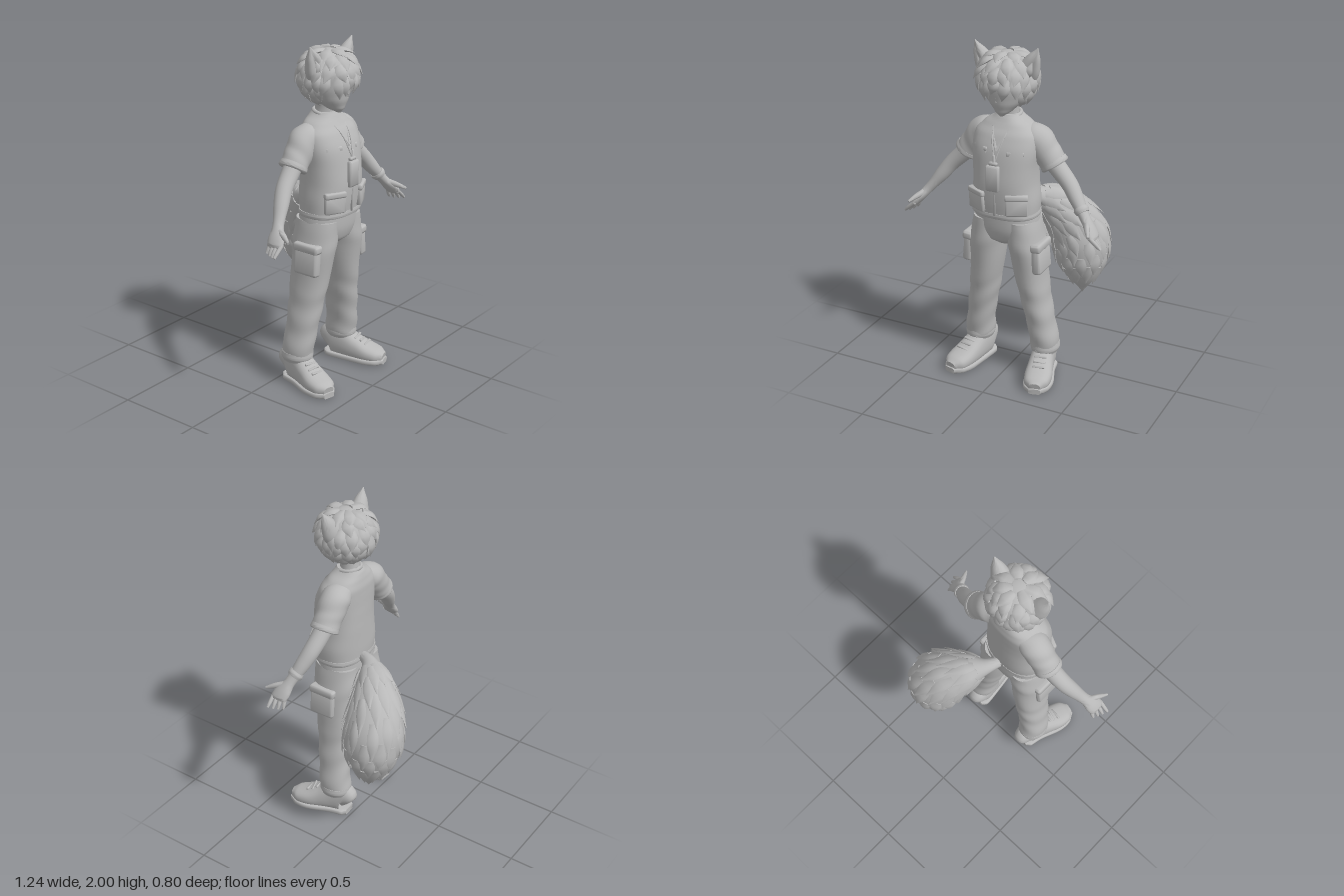
import * as THREE from 'three';
import { mergeGeometries, toCreasedNormals } from 'three/addons/utils/BufferGeometryUtils.js';
import { RoundedBoxGeometry } from 'three/addons/geometries/RoundedBoxGeometry.js';

const V3 = (x, y, z) => new THREE.Vector3(x, y, z);
const UP = V3(0, 1, 0), FRONT = V3(0, 0, 1);

// Smooth tube through rings [x, y, z, radiusU, radiusV]; at(u, angle, k) is a point on it.
function sweep(rings, { n = 20, steps = 5, ref = FRONT, flat = false, p = 2, shape = () => 1 } = {}) {
  const path = new THREE.CatmullRomCurve3(rings.map(r => V3(r[0], r[1], r[2])));
  const radii = new THREE.CatmullRomCurve3(rings.map(r => V3(r[3], r[4], 0)), false, 'catmullrom', 0.4);
  const pow = v => Math.sign(v) * Math.abs(v) ** (2 / p);
  const at = (u, t, k = 1) => {
    u = Math.min(1, u);
    const T = flat ? UP : path.getTangent(u);
    const U = T.clone().cross(ref).normalize(), V = U.clone().cross(T);
    const r = radii.getPoint(u), m = k * shape(t, u);
    return path.getPoint(u).addScaledVector(U, Math.max(r.x, 0) * m * pow(Math.cos(t)))
      .addScaledVector(V, Math.max(r.y, 0) * m * pow(Math.sin(t)));
  };
  const rows = (rings.length - 1) * steps, pos = [], index = [];
  for (let i = 0; i <= rows; i++)
    for (let j = 0; j < n; j++) pos.push(...at(i / rows, j / n * Math.PI * 2).toArray());
  pos.push(...path.getPoint(0).toArray(), ...path.getPoint(1).toArray());
  const first = (rows + 1) * n, last = rows * n;
  for (let j = 0; j < n; j++) {
    const j1 = (j + 1) % n;
    for (let i = 0; i < rows; i++) {
      const a = i * n + j, b = i * n + j1;
      index.push(a, a + n, b, b, a + n, b + n);
    }
    index.push(first, j, j1, first + 1, last + j1, last + j);
  }
  const geo = new THREE.BufferGeometry();
  geo.setAttribute('position', new THREE.Float32BufferAttribute(pos, 3));
  geo.setIndex(index);
  return { geo, at };
}
const loft = (rings, opt) => sweep(rings, opt).geo;

function box(w, h, d, x, y, z, ry = 0, rx = 0, rz = 0) {
  const g = new RoundedBoxGeometry(w, h, d, 2, Math.min(w, h, d) * 0.3);
  return g.rotateZ(rz).rotateX(rx).rotateY(ry).translate(x, y, z);
}
const cord = (pts, r) => new THREE.TubeGeometry(new THREE.CatmullRomCurve3(pts.map(q => V3(...q))), 14, r, 6);

// Pointed, flattened lock from root over a middle point to the tip
const lock = (a, b, c, out, w, d) => loft([
  [...a.toArray(), w * 0.7, d], [...b.toArray(), w, d], [...c.toArray(), 0.001, 0.001],
], { n: 6, steps: 3, ref: out });

function finish(list) {
  return mergeGeometries(list.map(g => {
    g.deleteAttribute('uv');
    return toCreasedNormals(g, 0.9);
  }));
}
// Copy reflected in x, with corner order put right
function mirrored(geo) {
  const g = geo.clone().scale(-1, 1, 1);
  for (const { array } of [g.attributes.position, g.attributes.normal])
    for (let i = 0; i < array.length; i += 9)
      for (let k = 3; k < 6; k++) [array[i + k], array[i + k + 3]] = [array[i + k + 3], array[i + k]];
  return g;
}

export function createModel() {
  const model = new THREE.Group();
  const clay = new THREE.MeshStandardMaterial({ color: 0xb8b8b8 });
  clay.name = 'clay grey';
  const put = (name, geo) => {
    const m = new THREE.Mesh(geo, clay);
    m.name = name;
    model.add(m);
  };
  const add = (name, ...list) => put(name, finish(list));
  const pair = (name, ...list) => {
    const g = finish(list);
    put('left' + name, g);
    put('right' + name, mirrored(g));
  };
  let seed = 7;
  const rnd = () => (seed = (seed * 16807) % 2147483647) / 2147483647;

  // Vest with a loose hem
  add('vest', loft([
    [0, 1.03, .18, .194, .142], [0, 1.12, .183, .196, .15], [0, 1.22, .185, .187, .152], [0, 1.32, .182, .187, .146],
    [0, 1.42, .174, .195, .137], [0, 1.5, .157, .187, .12], [0, 1.55, .145, .14, .098], [0, 1.585, .14, .085, .082],
    [0, 1.605, .14, .066, .07],
  ], { n: 36, flat: true, p: 2.4, shape: (t, u) => 1 + .012 * Math.sin(3 * t + u * 14) * (1 - u) }));
  add('vestHem', loft([[0, 1.025, .18, .196, .144], [0, 1.035, .18, .2, .148], [0, 1.055, .18, .197, .147]],
    { n: 36, flat: true, p: 2.4 }));
  add('vestFront', box(.012, .36, .012, 0, 1.23, .333),
    cord([[-.06, 1.59, .18], [-.045, 1.53, .247], [0, 1.43, .312]], .008),
    cord([[.06, 1.59, .18], [.045, 1.53, .247], [0, 1.43, .312]], .008));
  pair('HipPocket', box(.125, .11, .03, .122, 1.115, .305, .45), box(.132, .035, .038, .122, 1.168, .307, .45));
  add('chestPocket', box(.1, .09, .015, -.105, 1.385, .287, -.4, -.1), box(.106, .028, .022, -.105, 1.425, .28, -.4, -.15));
  add('chestFlap', box(.1, .028, .02, .105, 1.415, .283, .4, -.15));
  add('hangingCase', box(.08, .15, .028, -.005, 1.275, .342), box(.05, .02, .02, -.005, 1.36, .335));
  add('caseCord', ...[-1, 1].map(s => cord([[s * .062, 1.595, .16], [s * .035, 1.5, .28], [0, 1.36, .335]], .004)));

  // Trousers
  add('hips', loft([[0, .845, .165, .06, .08], [0, .88, .165, .15, .12], [0, .95, .168, .193, .136], [0, 1.06, .172, .185, .138]],
    { n: 32, flat: true, p: 2.3 }));
  pair('TrouserLeg', loft([
    [.215, .14, .112, .07, .085], [.212, .2, .112, .083, .096], [.2, .3, .124, .079, .095], [.183, .4, .132, .081, .1],
    [.165, .5, .138, .084, .107], [.15, .6, .145, .088, .115], [.127, .8, .162, .1, .13], [.113, .9, .165, .1, .135],
    [.1, 1, .167, .09, .13],
  ], { n: 24, flat: true, p: 2.2, shape: (t, u) => 1 + (.035 - .022 * u) * Math.sin(u * 32 + 2 * Math.sin(t + 1)) }));
  pair('TrouserCuff', loft([[.214, .145, .11, .076, .088], [.214, .17, .11, .086, .097], [.213, .2, .11, .083, .095]],
    { n: 24, flat: true }));
  pair('CargoPocket', box(.055, .17, .16, .216, .78, .185, 0, 0, .09), box(.065, .05, .17, .213, .855, .185, 0, 0, .09));

  // Shoes
  pair('Shoe',
    loft([
      [.2, .075, .028, .035, .055], [.2, .1, .05, .058, .095], [.21, .1, .12, .066, .098], [.228, .078, .2, .073, .075],
      [.25, .058, .28, .08, .055], [.265, .047, .345, .07, .043], [.275, .04, .385, .035, .028],
    ], { n: 24, ref: UP, p: 2.5 }),
    loft([
      [.198, .018, .022, .04, .018], [.2, .018, .05, .064, .018], [.212, .018, .13, .07, .018], [.248, .018, .27, .087, .018],
      [.265, .018, .345, .075, .018], [.277, .018, .393, .035, .016],
    ], { n: 24, ref: UP, p: 5 }));
  pair('Laces', ...[0, 1, 2, 3].map(i =>
    box(.075, .012, .014, .226 + i * .008, .163 - i * .016, .19 + i * .03, .22, .5, i % 2 ? .15 : -.15)));

  // Short sleeves, arms and hands
  pair('Sleeve', loft([
    [.1, 1.5, .13, .06, .075], [.165, 1.465, .126, .084, .087], [.22, 1.395, .125, .08, .08], [.267, 1.333, .125, .077, .078],
  ], { n: 24, shape: (t, u) => 1 + .02 * Math.sin(u * 18 + 2 * t) }));
  pair('SleeveHem', loft([[.256, 1.349, .125, .079, .08], [.27, 1.33, .125, .082, .083], [.274, 1.324, .125, .076, .078]], { n: 24 }));
  pair('Arm', loft([
    [.23, 1.38, .125, .055, .056], [.3, 1.305, .13, .05, .052], [.37, 1.235, .143, .045, .049], [.42, 1.17, .165, .041, .044],
    [.47, 1.105, .19, .03, .035], [.5, 1.068, .205, .027, .034], [.535, 1.025, .223, .025, .05], [.562, .99, .236, .019, .05],
    [.57, .98, .237, .01, .04],
  ]));
  const fingers = [0, 1, 2, 3].map(i => loft([
    [.55, 1, .199 + i * .025, .012, .013], [.568 + i * .008, .965, .195 + i * .026, .011, .012],
    [.58 + i * .012, .935 + Math.abs(i - 1.5) * .005, .192 + i * .027, .007, .008],
  ], { n: 8, steps: 3 }));
  pair('Hand', ...fingers, loft([[.51, 1.06, .225, .018, .02], [.537, 1.043, .28, .015, .016], [.56, 1.025, .325, .007, .008]],
    { n: 8, steps: 3, ref: UP }));
  add('wristBand', loft([[.452, 1.128, .181, .038, .042], [.462, 1.116, .186, .042, .046], [.472, 1.103, .191, .037, .041]]));

  // Head
  add('neck', loft([[0, 1.55, .13, .065, .065], [0, 1.62, .14, .053, .056], [0, 1.7, .15, .055, .06]], { flat: true }));
  add('collar', new THREE.TorusGeometry(.063, .012, 8, 24).rotateX(Math.PI / 2 + .15).translate(0, 1.598, .14));
  add('head', loft([
    [0, 1.608, .235, .012, .015], [0, 1.635, .208, .05, .06], [0, 1.69, .172, .1, .112], [0, 1.76, .16, .128, .134],
    [0, 1.84, .158, .132, .138], [0, 1.91, .155, .095, .105], [0, 1.94, .155, .03, .03],
  ], { n: 28, flat: true }));
  add('nose', loft([[0, 1.74, .28, .008, .01], [0, 1.705, .285, .012, .014], [0, 1.692, .28, .004, .004]], { n: 10, flat: true }));

  // Pointed ears, hollowed on the front
  const hollow = (t, u) => 1 - .75 * Math.exp(-(((t - 1.15) / .55) ** 2)) * (1 - u * .5);
  pair('Ear', loft([[.1, 1.81, .16, .062, .05], [.13, 1.87, .17, .064, .053], [.16, 1.93, .176, .042, .038], [.19, 1.997, .18, .003, .003]],
    { n: 28, shape: hollow }),
    lock(V3(.125, 1.83, .2), V3(.15, 1.87, .215), V3(.165, 1.92, .2), V3(.4, 0, 1), .022, .008));

  // Tousled hair: a cap and rows of locks falling from the crown
  const onHead = (az, phi, k) => V3(.155 * k * Math.sin(phi) * Math.sin(az), 1.81 + .148 * k * Math.cos(phi), .16 + .155 * k * Math.sin(phi) * Math.cos(az));
  const cap = new THREE.SphereGeometry(1, 28, 14, 0, Math.PI * 2, 0, Math.PI * .56)
    .rotateX(-.5).scale(.152, .146, .152).translate(0, 1.81, .16);
  const locks = [cap];
  // Each row: angle from crown, count, no locks nearer the face than this
  for (const [phi, count, open] of [[.15, 7, 0], [.5, 11, 0], [.9, 15, 0], [1.3, 18, 0], [1.65, 18, 1], [2, 16, 1.4]])
    for (let i = 0; i < count; i++) {
      const az = ((i + rnd() * .5) / count * 2 - 1) * Math.PI;
      if (Math.abs(az) < open) continue;
      const f = phi + rnd() * .15, len = .6 + rnd() * .2, turn = (rnd() - .5) * .4;
      const a = onHead(az, f, .96), b = onHead(az + turn * .3, f + len * .5, 1.09), c = onHead(az + turn, f + len, 1.13 + rnd() * .1);
      locks.push(lock(a, b, c, onHead(az, f + .3, 2).sub(onHead(az, f + .3, 1)), .034, .014));
    }
  add('hair', ...locks);

  // Bushy tail with overlapping tufts
  const tail = sweep([
    [.02, 1.05, .04, .03, .03], [.055, 1.045, -.03, .045, .045], [.12, 1, -.1, .095, .095], [.21, .895, -.175, .148, .145],
    [.28, .76, -.213, .174, .17], [.3, .63, -.212, .152, .15], [.307, .51, -.207, .085, .085], [.31, .4, -.2, .002, .002],
  ], { n: 28, ref: V3(1, 0, 0) });
  add('tail', tail.geo);
  const tufts = [];
  for (let row = 0; row < 7; row++)
    for (let i = 0; i < 11; i++) {
      const u = .2 + row * .088 + rnd() * .05, t = (i + (row % 2) * .5 + rnd() * .3) / 11 * Math.PI * 2;
      const out = tail.at(u, t, 2).sub(tail.at(u, t, 1)).normalize();
      const tip = tail.at(u + .15, t).addScaledVector(out, .018);
      tufts.push(lock(tail.at(u, t, .97), tail.at(u + .07, t, 1.02), tip, out, .033, .009));
    }
  add('tailTufts', ...tufts);
  return model;
}
